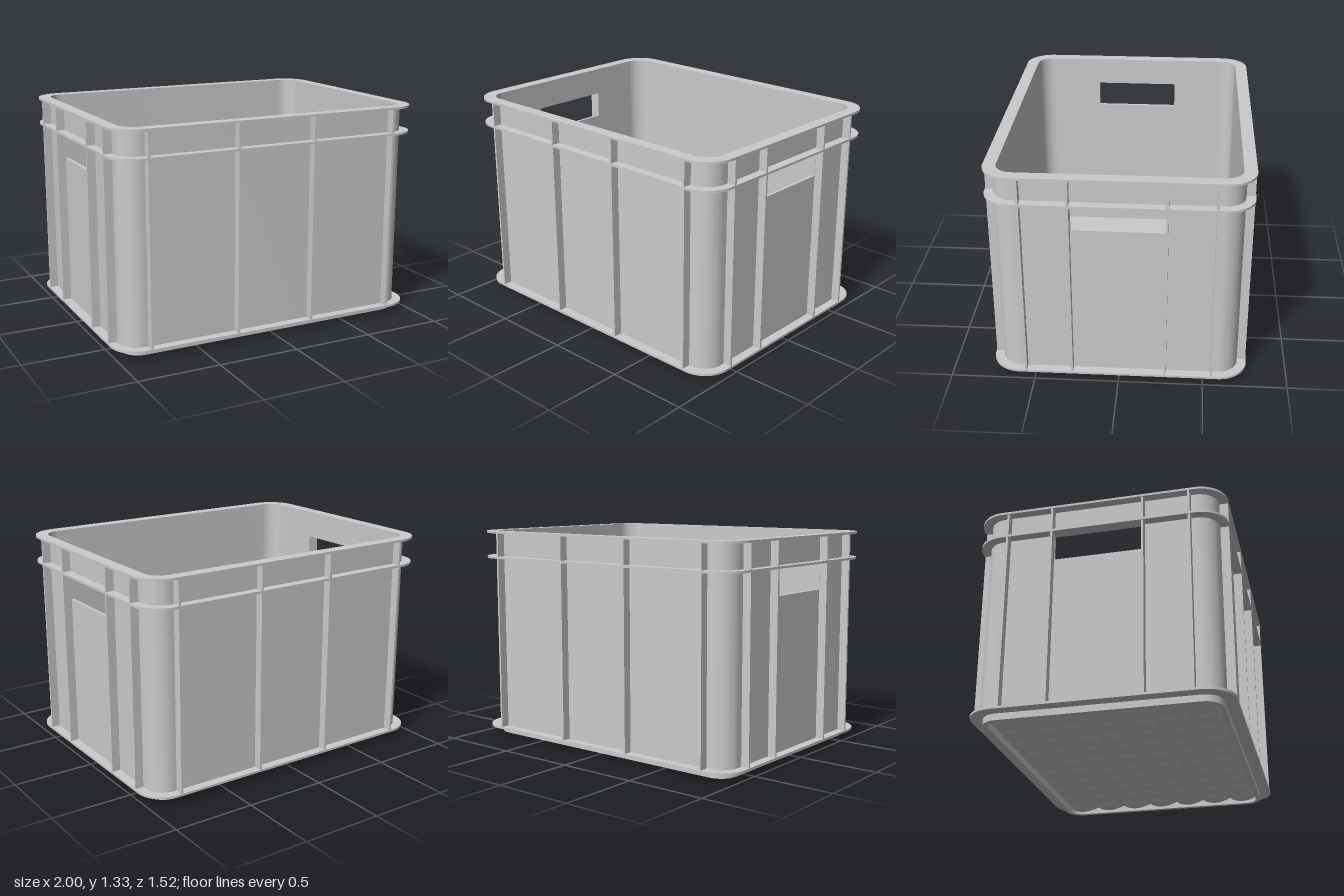
import * as THREE from 'three';
import { toCreasedNormals } from 'three/addons/utils/BufferGeometryUtils.js';

const material = new THREE.MeshStandardMaterial({ color: 0xcccccc });
const HEIGHT = 1.33, BASE = 0.045, BAND = 1.155, SILL = 0.99;
const WALL_X = 0.945, WALL_Z = 0.705, WALL_R = 0.12, THICK = 0.02;
const RIM_X = 1, RIM_Z = 0.76, RIM_R = 0.17;
const GRIP = 0.267;

function roundedRect(path, hx, hz, r) {
  path.moveTo(hx, -hz + r);
  path.lineTo(hx, hz - r);
  path.absarc(hx - r, hz - r, r, 0, Math.PI / 2, false);
  path.absarc(-hx + r, hz - r, r, Math.PI / 2, Math.PI, false);
  path.absarc(-hx + r, -hz + r, r, Math.PI, Math.PI * 1.5, false);
  path.absarc(hx - r, -hz + r, r, Math.PI * 1.5, Math.PI * 2, false);
  return path;
}

// Extrudes a plan outline upward from y0 to y1
function slab(shape, y0, y1) {
  const g = new THREE.ExtrudeGeometry(shape, { depth: y1 - y0, bevelEnabled: false, curveSegments: 10 });
  g.rotateX(-Math.PI / 2).translate(0, y0, 0);
  return toCreasedNormals(g, 0.6);
}

function ring(outer, inner, y0, y1) {
  const shape = roundedRect(new THREE.Shape(), ...outer);
  shape.holes.push(roundedRect(new THREE.Path(), ...inner));
  return slab(shape, y0, y1);
}

export function createModel() {
  const crate = new THREE.Group();
  crate.name = 'storageCrate';

  const add = (name, geometry) => {
    const mesh = new THREE.Mesh(geometry, material);
    mesh.name = name;
    crate.add(mesh);
    return mesh;
  };
  const box = (name, sx, y0, y1, sz, x, z) => {
    const mesh = add(name, new THREE.BoxGeometry(sx, y1 - y0, sz));
    mesh.position.set(x, (y0 + y1) / 2, z);
  };

  // Long walls with their rounded corners, ending at the hand grips
  const half = new THREE.Shape();
  const cx = WALL_X - WALL_R, cz = WALL_Z - WALL_R, ri = WALL_R - THICK;
  half.moveTo(WALL_X, GRIP);
  half.lineTo(WALL_X, cz);
  half.absarc(cx, cz, WALL_R, 0, Math.PI / 2, false);
  half.absarc(-cx, cz, WALL_R, Math.PI / 2, Math.PI, false);
  half.lineTo(-WALL_X, GRIP);
  half.lineTo(-WALL_X + THICK, GRIP);
  half.absarc(-cx, cz, ri, Math.PI, Math.PI / 2, true);
  half.absarc(cx, cz, ri, Math.PI / 2, 0, true);
  half.lineTo(WALL_X - THICK, GRIP);
  half.closePath();
  const wall = slab(half, BASE, HEIGHT - 0.005);
  add('backWall', wall);
  add('frontWall', wall).rotation.y = Math.PI;

  // End panels below and above each grip opening
  for (const s of [-1, 1]) {
    const x = s * (WALL_X - THICK / 2);
    box('gripLowerPanel', THICK, BASE, SILL, GRIP * 2, x, 0);
    box('gripUpperPanel', THICK, BAND, HEIGHT - 0.005, GRIP * 2, x, 0);
  }

  // Horizontal flanges: foot, band and top rim
  const rim = [RIM_X, RIM_Z, RIM_R];
  const outerWall = [WALL_X - 0.005, WALL_Z - 0.005, WALL_R - 0.005];
  const innerWall = [WALL_X - THICK, WALL_Z - THICK, ri];
  add('footFlange', ring(rim, outerWall, BASE, BASE + 0.014));
  add('bandFlange', ring(rim, outerWall, BAND, BAND + 0.014));
  add('topRim', ring(rim, innerWall, HEIGHT - 0.014, HEIGHT));

  // Vertical ribs on all four sides
  const RIB = 0.013, y0 = BASE + 0.005, y1 = HEIGHT - 0.005;
  const depth = RIM_X - WALL_X;
  for (const s of [-1, 1]) {
    for (const x of [-0.805, -0.25, 0.25, 0.805])
      box('longSideRib', RIB, y0, y1, depth, x, s * (WALL_Z + depth / 2 - 0.003));
    for (const z of [-0.55, -0.275, 0.275, 0.55])
      box('endRib', depth, y0, y1, RIB, s * (WALL_X + depth / 2 - 0.003), z);
  }

  // Floor and the stacking skirt beneath it
  add('floor', slab(roundedRect(new THREE.Shape(), WALL_X - 0.005, WALL_Z - 0.005, WALL_R), 0.05, 0.062));
  add('stackingSkirt', ring([0.93, 0.69, 0.11], [0.9, 0.66, 0.08], 0.005, 0.052));

  // Underside covered with a grid of cushions
  const NX = 10, NZ = 7, W = 1.8, D = 1.32;
  const cushions = new THREE.PlaneGeometry(W, D, NX * 8, NZ * 8);
  cushions.rotateX(Math.PI / 2);
  const p = cushions.attributes.position;
  for (let i = 0; i < p.count; i++) {
    const u = Math.sin((p.getX(i) / W + 0.5) * NX * Math.PI);
    const v = Math.sin((p.getZ(i) / D + 0.5) * NZ * Math.PI);
    p.setY(i, 0.048 - 0.048 * Math.sqrt(Math.abs(u * v)));
  }
  cushions.computeVertexNormals();
  add('undersideCushions', cushions);

  return crate;
}
